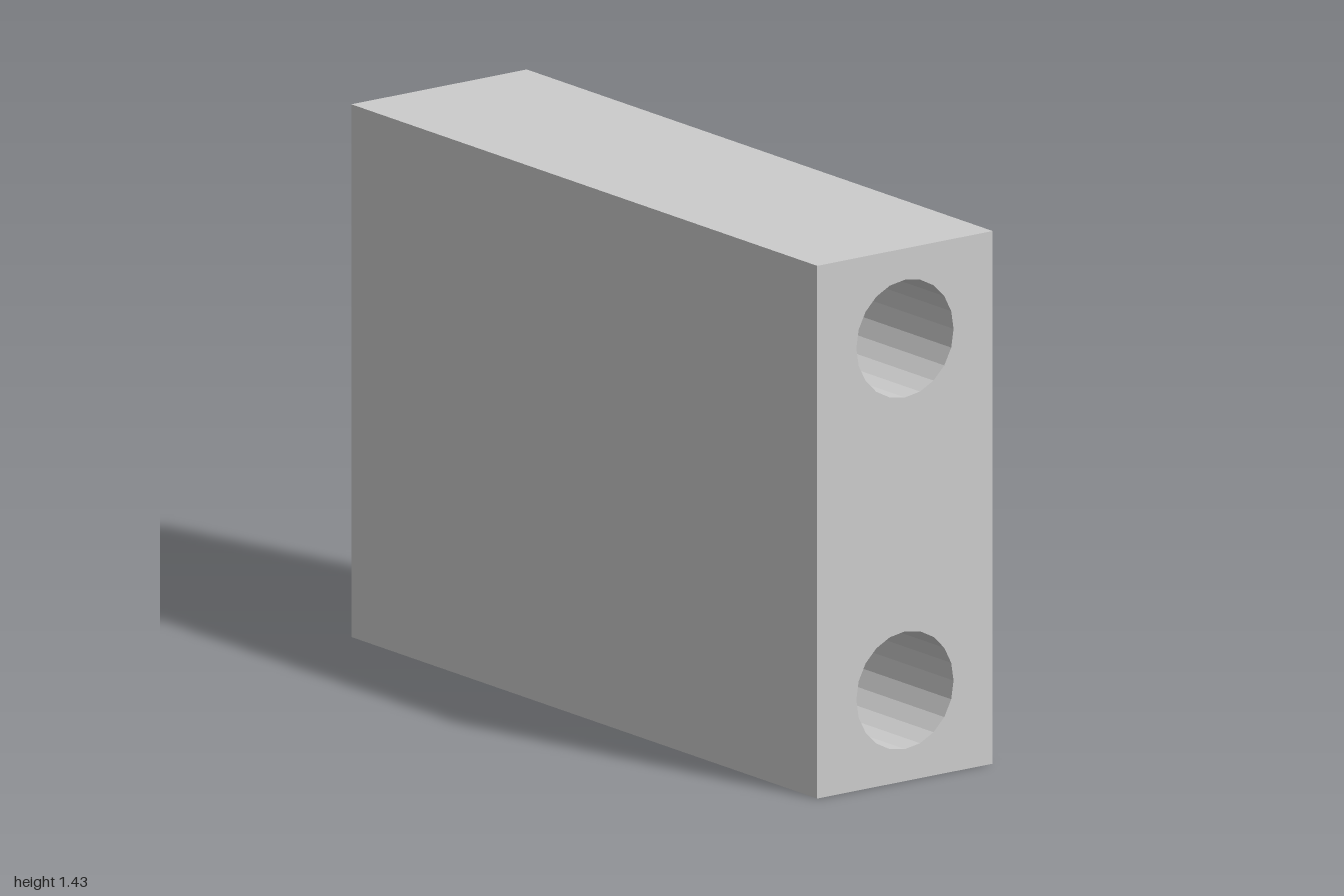
import * as THREE from 'three';

const LENGTH = 2, HEIGHT = 1.43, DEPTH = 0.57;
const HOLE_RADIUS = 0.158, HOLE_HEIGHTS = [0.244, 1.188];

export function createModel() {
  const group = new THREE.Group();
  group.name = 'drilledBlock';

  // End profile: tall rectangle with two round bores
  const h = DEPTH / 2;
  const profile = new THREE.Shape();
  profile.moveTo(-h, 0);
  profile.lineTo(h, 0);
  profile.lineTo(h, HEIGHT);
  profile.lineTo(-h, HEIGHT);
  profile.closePath();
  for (const y of HOLE_HEIGHTS) {
    profile.holes.push(new THREE.Path().absarc(0, y, HOLE_RADIUS, 0, Math.PI * 2, true));
  }

  // Extrude along the length; 10 curve segments give 20-sided bores
  const geometry = new THREE.ExtrudeGeometry(profile, {
    depth: LENGTH, bevelEnabled: false, curveSegments: 10,
  });
  geometry.translate(0, 0, -LENGTH / 2);
  geometry.rotateY(Math.PI / 2);

  const block = new THREE.Mesh(
    geometry,
    new THREE.MeshStandardMaterial({ color: 0xcccccc, flatShading: true }),
  );
  block.name = 'block';
  group.add(block);
  return group;
}
